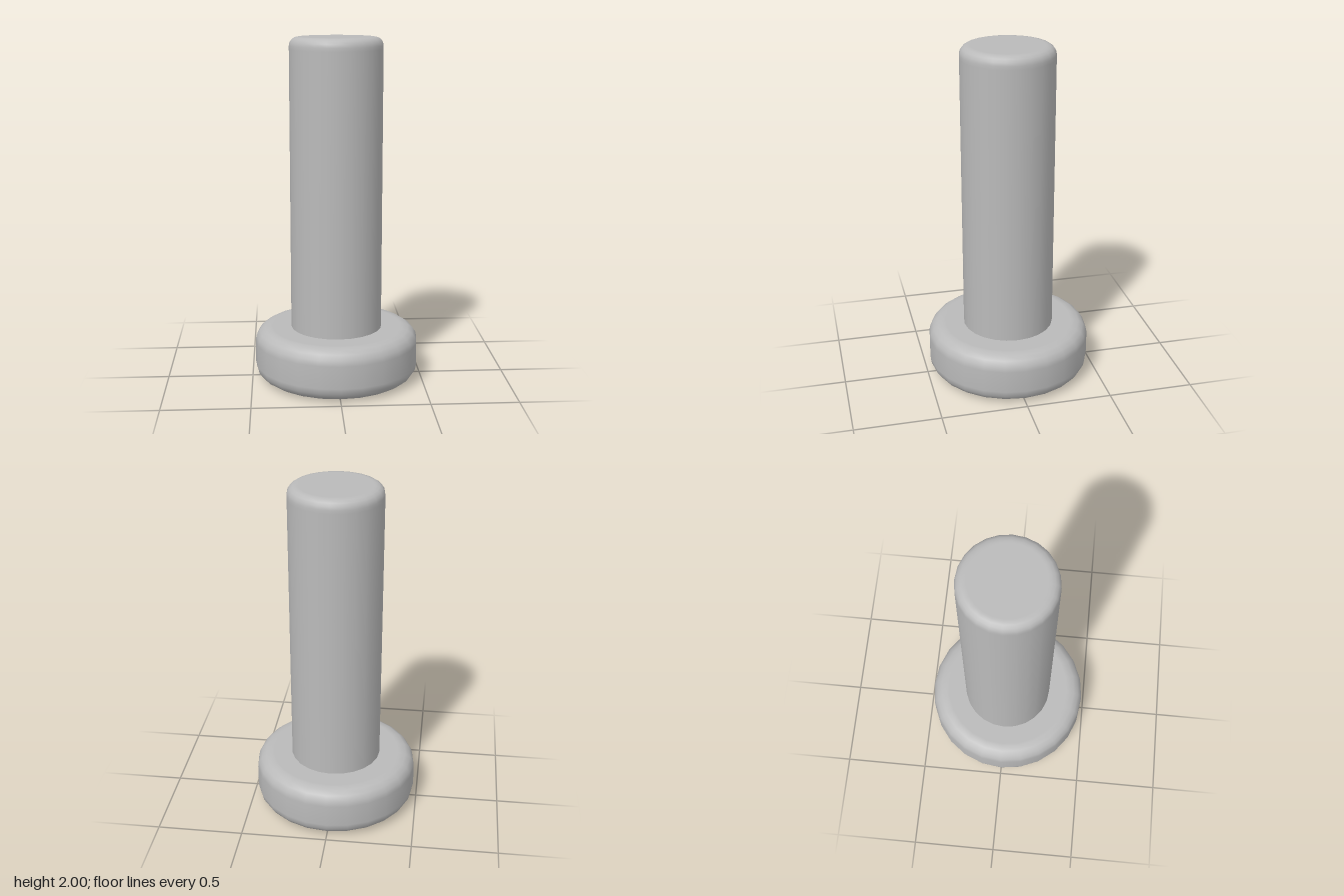
import * as THREE from 'three';

const SIDES = 24;

// Adds a quarter-round edge to a profile, centred on (cx, cy)
function addFillet(points, cx, cy, radius, startAngle) {
  const steps = 4;
  for (let i = 0; i <= steps; i++) {
    const a = startAngle + (i / steps) * Math.PI / 2;
    points.push(new THREE.Vector2(cx + Math.cos(a) * radius, cy + Math.sin(a) * radius));
  }
}

export function createModel() {
  const model = new THREE.Group();
  model.name = 'bolt';

  const metal = new THREE.MeshStandardMaterial({ color: 0xbababa });
  metal.name = 'grey metal';

  const addTurned = (name, points) => {
    const mesh = new THREE.Mesh(new THREE.LatheGeometry(points, SIDES), metal);
    mesh.name = name;
    model.add(mesh);
  };

  // Wide head with rounded upper and lower rims
  const head = [new THREE.Vector2(0, 0.005), new THREE.Vector2(0.38, 0.005)];
  addFillet(head, 0.395, 0.09, 0.085, -Math.PI / 2);
  addFillet(head, 0.395, 0.222, 0.085, 0);
  head.push(new THREE.Vector2(0.38, 0.307), new THREE.Vector2(0, 0.307));
  head[0].y = head[1].y = head[2].y = 0;
  addTurned('head', head);

  // Plain shank with a softened tip
  const shank = [new THREE.Vector2(0.267, 0.28), new THREE.Vector2(0.267, 1.93)];
  addFillet(shank, 0.217, 1.95, 0.05, 0);
  shank.push(new THREE.Vector2(0.205, 2), new THREE.Vector2(0, 2));
  addTurned('shank', shank);

  return model;
}
